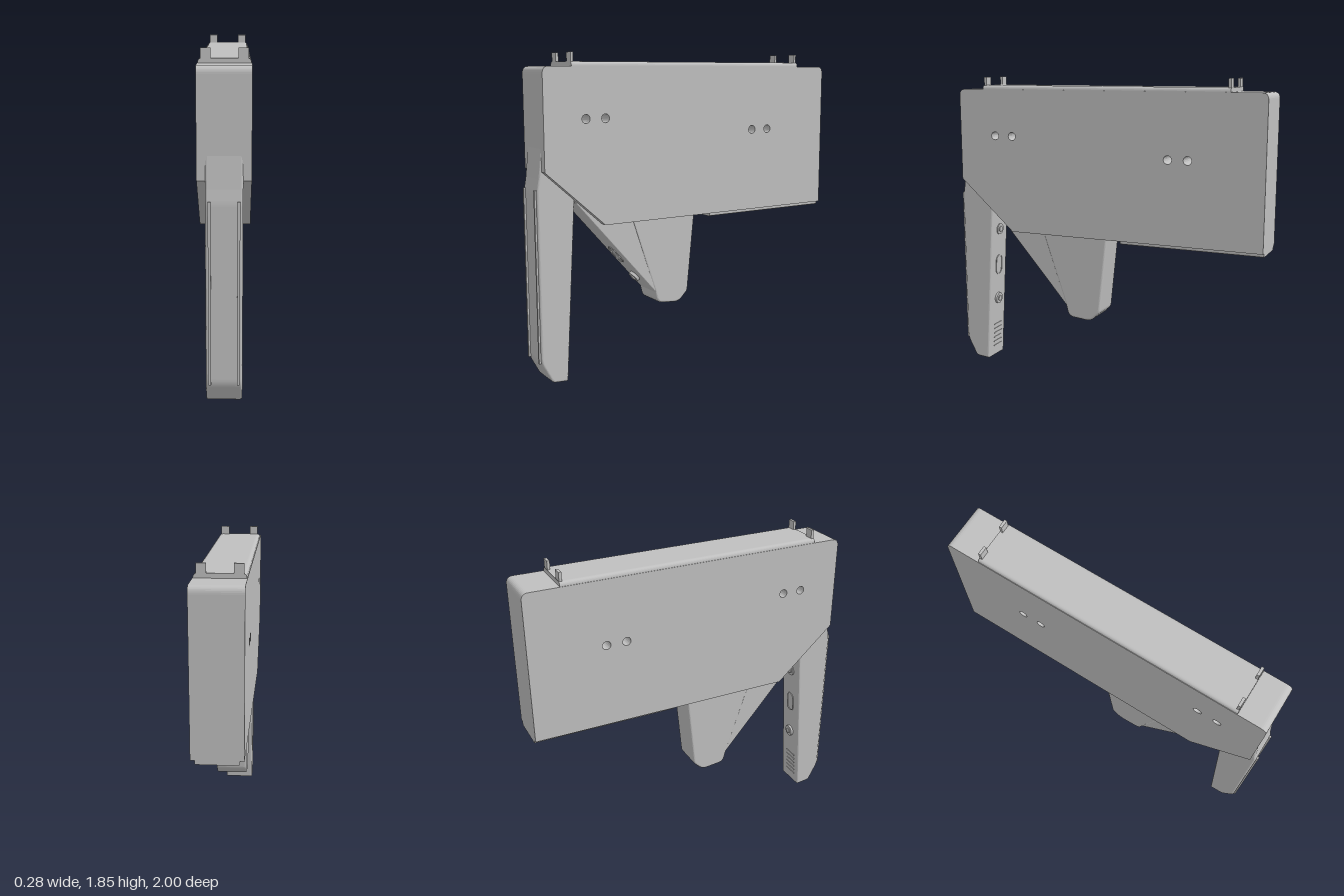
import * as THREE from 'three';

const grey = new THREE.MeshStandardMaterial({ color: 0xbfbfbf });
grey.name = 'plain grey';

function add(parent, name, geometry, x = 0, y = 0, z = 0) {
  const m = new THREE.Mesh(geometry, grey);
  m.name = name;
  m.position.set(x, y, z);
  parent.add(m);
  return m;
}

// Polygon of [a, b, radius] corners, rounded where a radius is given
function roundedShape(pts) {
  const s = new THREE.Shape();
  pts.forEach(([a, b, r = 0], i) => {
    const p = new THREE.Vector2(a, b);
    const toward = (q) => p.clone().add(new THREE.Vector2(q[0], q[1]).sub(p).setLength(r));
    const p0 = toward(pts[(i + pts.length - 1) % pts.length]);
    const p1 = toward(pts[(i + 1) % pts.length]);
    if (i === 0) s.moveTo(p0.x, p0.y); else s.lineTo(p0.x, p0.y);
    if (r) s.quadraticCurveTo(p.x, p.y, p1.x, p1.y);
  });
  s.closePath();
  return s;
}

// Side profile (z, y) extruded symmetrically across x
function sideExtrude(shape, width, bevel = 0) {
  const depth = width - 2 * bevel;
  const g = new THREE.ExtrudeGeometry(shape, {
    depth, curveSegments: 8, bevelEnabled: bevel > 0,
    bevelSize: bevel, bevelThickness: bevel, bevelOffset: -bevel, bevelSegments: 4,
  });
  g.translate(0, 0, -depth / 2);
  g.rotateY(-Math.PI / 2);
  return g;
}

// Group on a surface, its local +z along the outward normal
function mount(parent, name, y, z, ny, nz) {
  const g = new THREE.Group();
  g.name = name;
  g.position.set(0, y, z);
  g.rotation.x = Math.atan2(-ny, nz);
  parent.add(g);
  return g;
}

function bolt(parent, y, z, ny, nz, height) {
  const g = mount(parent, 'bolt', y, z, ny, nz);
  const washer = new THREE.CylinderGeometry(0.036, 0.036, height, 28).rotateX(Math.PI / 2);
  const head = new THREE.CylinderGeometry(0.02, 0.02, 0.008, 6).rotateX(Math.PI / 2);
  add(g, 'washer', washer, 0, 0, height / 2 - 0.002);
  add(g, 'boltHead', head, 0, 0, height);
}

function slotPath(path, r, half) {
  path.absarc(0, half, r, 0, Math.PI, false);
  path.absarc(0, -half, r, Math.PI, 2 * Math.PI, false);
  path.closePath();
  return path;
}

function slotRim(parent, y, z, ny, nz) {
  const s = slotPath(new THREE.Shape(), 0.036, 0.03);
  s.holes.push(slotPath(new THREE.Path(), 0.031, 0.03));
  const g = mount(parent, 'slot', y, z, ny, nz);
  add(g, 'slotRim', new THREE.ExtrudeGeometry(s, { depth: 0.005, bevelEnabled: false }));
}

export function createModel() {
  const model = new THREE.Group();
  model.name = 'housing';

  // Main box with the cut lower front corner and through holes
  const body = roundedShape([
    [0.6, 0.89], [0.96, 1.21], [0.96, 1.775, 0.04], [-1, 1.775, 0.04], [-1, 0.89],
  ]);
  for (const [z, y] of [[0.71, 1.49], [0.59, 1.49], [-0.43, 1.39], [-0.55, 1.39]]) {
    const hole = new THREE.Path();
    hole.absarc(z, y, 0.025, 0, Math.PI * 2, true);
    body.holes.push(hole);
  }
  add(model, 'body', sideExtrude(body, 0.275));

  // Lid with rounded long edges
  const lid = roundedShape([[-0.135, 1.76], [0.135, 1.76], [0.135, 1.8, 0.025], [-0.135, 1.8, 0.025]]);
  add(model, 'lid', new THREE.ExtrudeGeometry(lid, { depth: 1.58, bevelEnabled: false }), 0, 0, -0.79);

  // Upright tabs at both ends of the lid
  for (const z of [0.78, -0.78])
    for (const x of [-0.095, 0.095])
      add(model, 'lidTab', new THREE.BoxGeometry(0.052, 0.07, 0.016), x, 1.815, z);

  // Plate under the rear half
  const plate = roundedShape([[-0.115, 0.9], [-0.115, 0.867, 0.012], [0.115, 0.867, 0.012], [0.115, 0.9]]);
  add(model, 'bottomPlate', new THREE.ExtrudeGeometry(plate, { depth: 0.87, bevelEnabled: false }), 0, 0, -1);

  // Front leg, its top blending into the body front
  const leg = roundedShape([
    [0.83, 0.0, 0.01], [0.925, 0.008, 0.02], [0.99, 0.13, 0.03], [0.99, 1.1, 0.02],
    [0.978, 1.17], [0.955, 1.38], [0.86, 1.38], [0.768, 1.04],
  ]);
  add(model, 'frontLeg', sideExtrude(leg, 0.19, 0.012));
  for (const x of [-0.074, 0.074])
    add(model, 'frontRib', new THREE.BoxGeometry(0.014, 0.98, 0.03), x, 0.62, 0.985);

  // Fittings on the back of the front leg
  const back = (y) => 0.83 - 0.06 * y;
  bolt(model, 0.87, back(0.87), -0.058, -1, 0.008);
  slotRim(model, 0.63, back(0.63), -0.058, -1);
  bolt(model, 0.4, back(0.4), -0.058, -1, 0.016);
  for (let i = 0; i < 6; i++) {
    const y = 0.07 + i * 0.03;
    add(model, 'gripLine', new THREE.BoxGeometry(0.09, 0.006, 0.008), -0.01, y, back(y));
  }

  // Middle leg
  const middle = roundedShape([
    [0.405, 0.9], [0.25, 0.44], [0.232, 0.368, 0.035], [0.08, 0.353, 0.035],
    [0.018, 0.415, 0.015], [-0.032, 0.9],
  ]);
  add(model, 'middleLeg', sideExtrude(middle, 0.19, 0.012));

  // Sloped web joining the two legs
  const web = roundedShape([
    [0.77, 1.03], [0.22, 0.405], [0.2, 0.5], [0.35, 0.95], [0.6, 1.03],
  ]);
  add(model, 'web', sideExtrude(web, 0.184, 0.012));
  bolt(model, 0.535, 0.335, -0.66, 0.75, 0.02);
  slotRim(model, 0.68, 0.463, -0.66, 0.75);

  return model;
}
